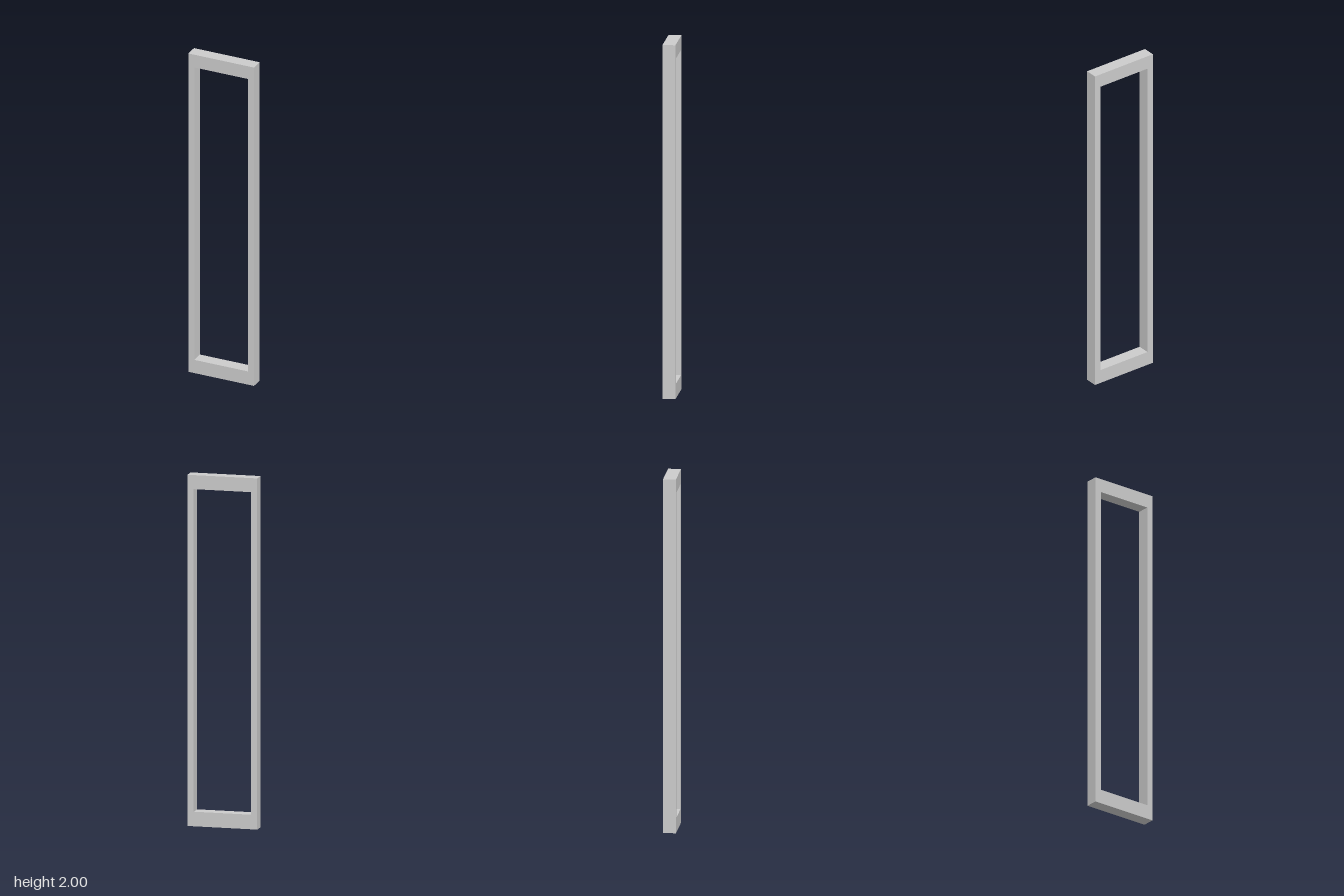
import * as THREE from 'three';

export function createModel() {
  const W = 0.406, H = 2, D = 0.073; // overall size
  const holeW = 0.332, bottom = 0.083, top = 1.92; // opening

  // Rectangular outline centred on x
  const rect = (Type, w, y0, y1) => {
    const p = new Type();
    p.moveTo(-w / 2, y0);
    p.lineTo(w / 2, y0);
    p.lineTo(w / 2, y1);
    p.lineTo(-w / 2, y1);
    p.closePath();
    return p;
  };

  // Upright frame with one tall opening
  const outline = rect(THREE.Shape, W, 0, H);
  outline.holes.push(rect(THREE.Path, holeW, bottom, top));
  const geometry = new THREE.ExtrudeGeometry(outline, { depth: D, bevelEnabled: false });
  geometry.translate(0, 0, -D / 2);

  const frame = new THREE.Mesh(
    geometry,
    new THREE.MeshStandardMaterial({ color: 0xcccccc, flatShading: true })
  );
  frame.name = 'frame';

  const model = new THREE.Group();
  model.name = 'openFrame';
  model.add(frame);
  return model;
}
